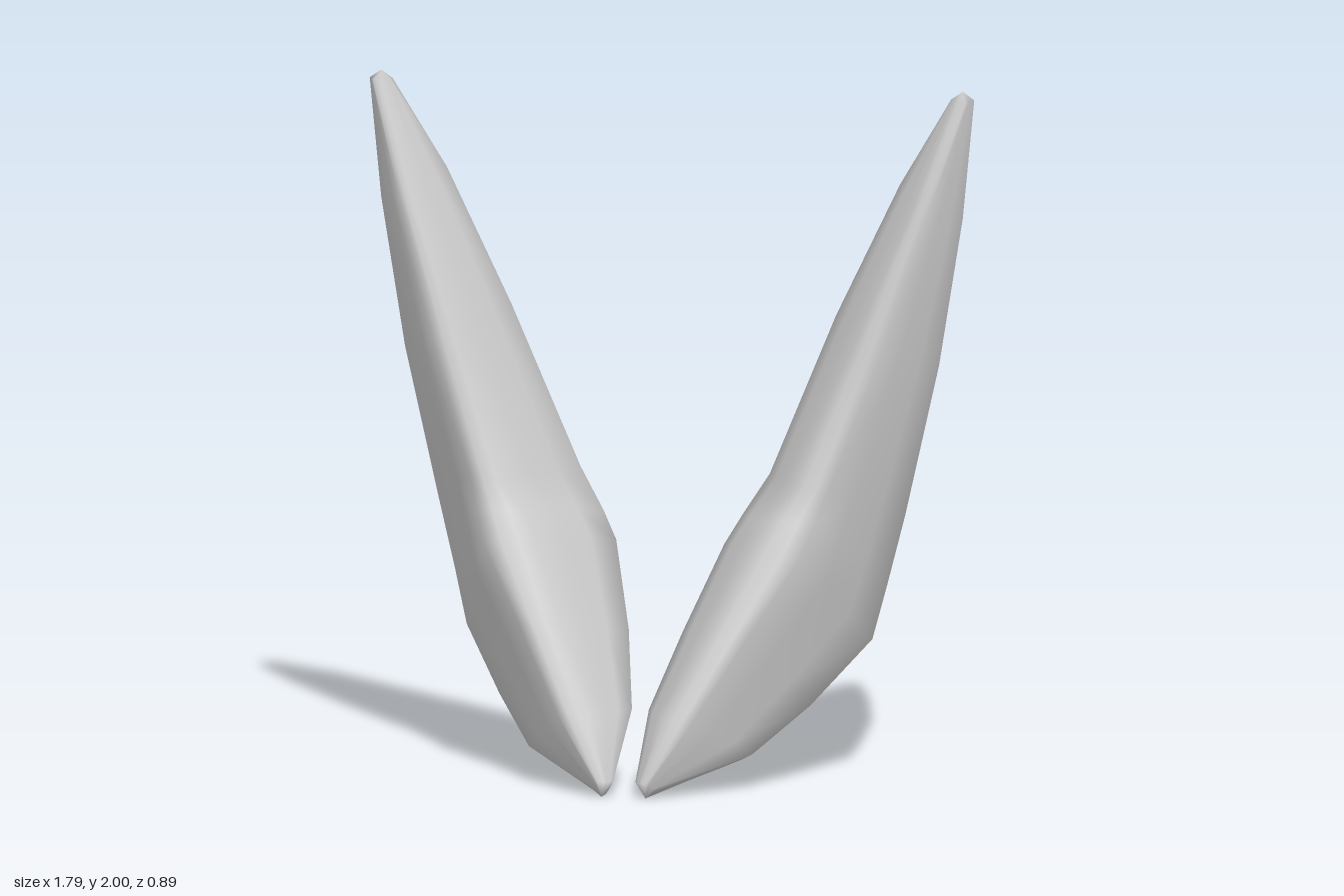
import * as THREE from 'three';

// Stations from tip to root: front, outer, back and inner ridge points,
// then the widths of the blunt front and back ridges.
const STATIONS = [
  [[0.78, 1.65, -0.07], [0.86, 1.63, -0.18], [0.8, 1.66, -0.325], [0.67, 1.72, -0.2], 0.05, 0.04],
  [[0.66, 1.25, 0.01], [0.79, 1.2, -0.18], [0.69, 1.2, -0.39], [0.48, 1.33, -0.2], 0.09, 0.08],
  [[0.53, 0.87, 0.095], [0.69, 0.76, -0.18], [0.51, 0.71, -0.435], [0.28, 0.86, -0.22], 0.11, 0.08],
  [[0.5, 0.78, 0.14], [0.64, 0.56, -0.17], [0.44, 0.47, -0.41], [0.205, 0.74, -0.19], 0.14, 0.09],
  [[0.47, 0.69, 0.18], [0.6, 0.4, -0.15], [0.41, 0.36, -0.37], [0.16, 0.66, -0.16], 0.16, 0.08],
  [[0.34, 0.47, 0.28], [0.46, 0.23, 0.03], [0.33, 0.19, -0.09], [0.08, 0.43, 0.02], 0.12, 0.08],
  [[0.2, 0.23, 0.39], [0.33, 0.11, 0.21], [0.22, 0.06, 0.17], [0.025, 0.23, 0.21], 0.09, 0.06],
  [[0.08, 0.05, 0.44], [0.09, 0.025, 0.42], [0.075, 0.008, 0.39], [0.033, 0.05, 0.41], 0.025, 0.015],
];
const TIP = new THREE.Vector3(0.86, 2, -0.18);
const ROOT = new THREE.Vector3(0.065, 0.005, 0.42);
const RIDGES = 6;
const STEPS = 3; // points along each side of a section
const BULGE = 0.03; // how far the sides swell between ridges

// Six corners of a station: the front and back ridges are split in two
function stationCorners([front, outer, back, inner, frontWidth, backWidth]) {
  const [f, o, b, i] = [front, outer, back, inner].map((p) => new THREE.Vector3(...p));
  const frontInner = f.clone().add(new THREE.Vector3(-frontWidth, 0, -0.005));
  const backInner = b.clone().add(new THREE.Vector3(-backWidth, 0, -0.006));
  return [f, o, b, backInner, i, frontInner];
}

// Small round cap section just below the tip
function tipCorners() {
  return Array.from({ length: RIDGES }, (_, k) => {
    const a = ((k + 0.5) * Math.PI * 2) / RIDGES;
    return new THREE.Vector3(Math.sin(a) * 0.034, -0.024, Math.cos(a) * 0.038).add(TIP);
  });
}

// Section ring with slightly swollen sides
function section(c) {
  const center = c.reduce((sum, p) => sum.add(p), new THREE.Vector3()).divideScalar(RIDGES);
  const ring = [];
  for (let k = 0; k < RIDGES; k++) {
    for (let j = 0; j < STEPS; j++) {
      const t = j / STEPS;
      const p = c[k].clone().lerp(c[(k + 1) % RIDGES], t);
      const swell = 1 + BULGE * Math.sin(Math.PI * t);
      ring.push(p.sub(center).multiplyScalar(swell).add(center));
    }
  }
  return ring;
}

// Skin the sections into a closed, smooth blade; side = 1 or -1 mirrors it
function bladeGeometry(side) {
  const n = RIDGES * STEPS;
  const points = [tipCorners(), ...STATIONS.map(stationCorners)].flatMap(section);
  const last = points.length - n;
  const tip = points.push(TIP) - 1;
  const root = points.push(ROOT) - 1;
  const index = [];
  const tri = (a, b, c) => (side > 0 ? index.push(a, b, c) : index.push(a, c, b));
  for (let i = 0; i < n; i++) {
    const j = (i + 1) % n;
    for (let s = 0; s < last; s += n) {
      tri(s + n + i, s + n + j, s + j);
      tri(s + n + i, s + j, s + i);
    }
    tri(i, j, tip);
    tri(last + j, last + i, root);
  }
  const geometry = new THREE.BufferGeometry();
  geometry.setAttribute('position', new THREE.Float32BufferAttribute(
    points.flatMap((p) => [p.x * side, p.y, p.z]), 3));
  geometry.setIndex(index);
  geometry.computeVertexNormals();
  return geometry;
}

export function createModel() {
  const group = new THREE.Group();
  group.name = 'hornPair';
  const material = new THREE.MeshStandardMaterial({ color: 0xcccccc });
  for (const side of [1, -1]) {
    const horn = new THREE.Mesh(bladeGeometry(side), material);
    horn.name = side > 0 ? 'leftHorn' : 'rightHorn';
    group.add(horn);
  }
  return group;
}
